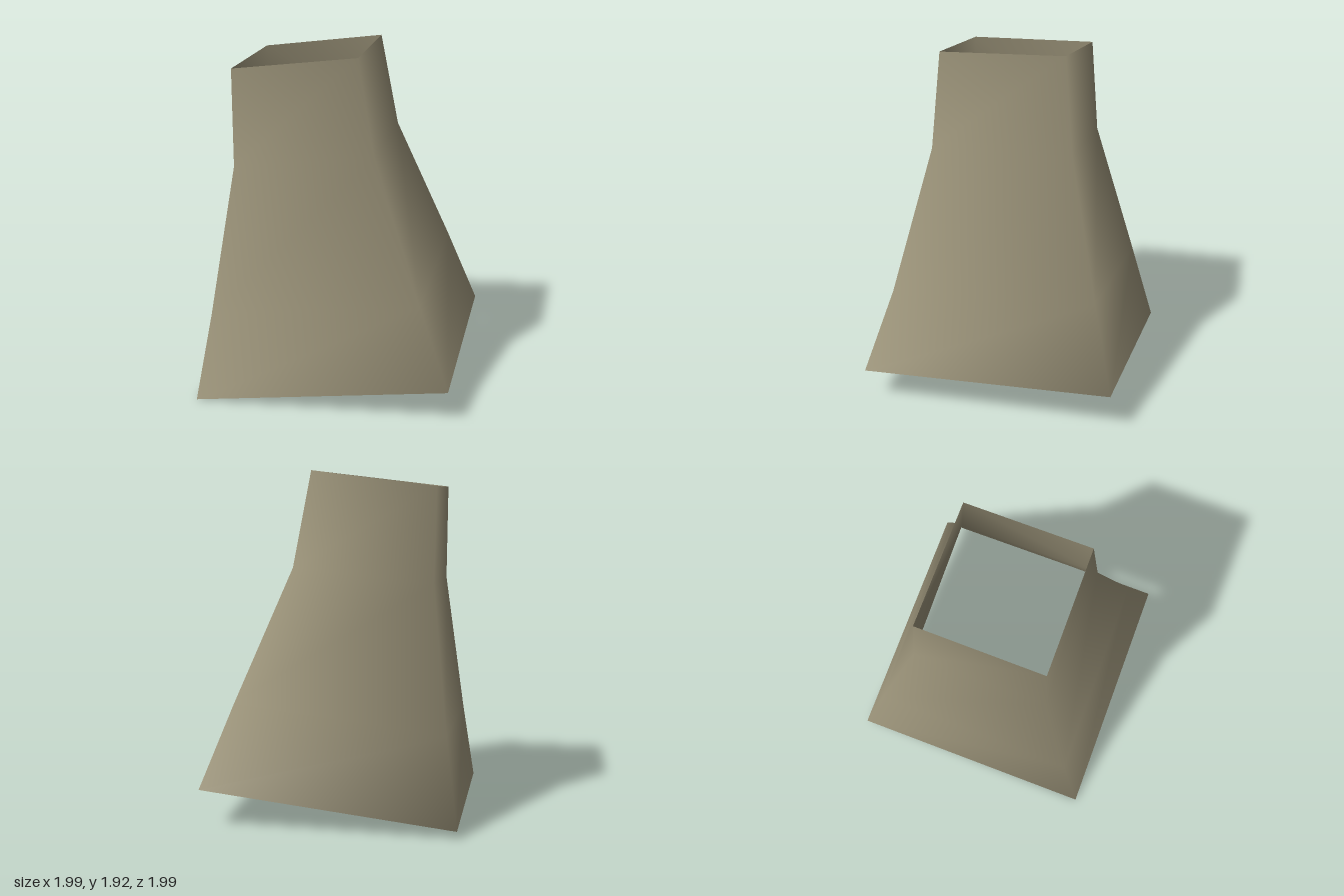
import * as THREE from 'three';

export function createModel() {
  const group = new THREE.Group();
  group.name = 'flaredSleeve';
  const khaki = new THREE.MeshStandardMaterial({ color: 0x9c947a, side: THREE.DoubleSide });
  khaki.name = 'khaki';

  // Square cross-sections from hem to opening; corners: left, front, right, back
  const rings = [
    [[0.99, 0.205, -0.01], [0, 0.17, 0.99], [-1, 0, 0], [0, 0.04, -1]],
    [[0.78, 0.66, -0.04], [-0.04, 0.6, 0.78], [-0.87, 0.47, -0.04], [-0.04, 0.52, -0.86]],
    [[0.43, 1.39, -0.1], [-0.13, 1.37, 0.47], [-0.68, 1.28, -0.09], [-0.13, 1.31, -0.635]],
    [[0.32, 1.92, -0.12], [-0.18, 1.9, 0.385], [-0.675, 1.82, -0.105], [-0.165, 1.835, -0.61]],
  ];

  // Join neighbouring sections, sharing corners so the walls shade smoothly
  const index = [];
  for (let i = 0; i < rings.length - 1; i++) {
    for (let j = 0; j < 4; j++) {
      const a = i * 4 + j, b = i * 4 + (j + 1) % 4;
      index.push(a, a + 4, b, b, a + 4, b + 4);
    }
  }
  const geometry = new THREE.BufferGeometry();
  geometry.setAttribute('position', new THREE.Float32BufferAttribute(rings.flat(2), 3));
  geometry.setIndex(index);
  geometry.computeVertexNormals();

  // Open tube wall
  const wall = new THREE.Mesh(geometry, khaki);
  wall.name = 'sleeveWall';
  group.add(wall);
  return group;
}
